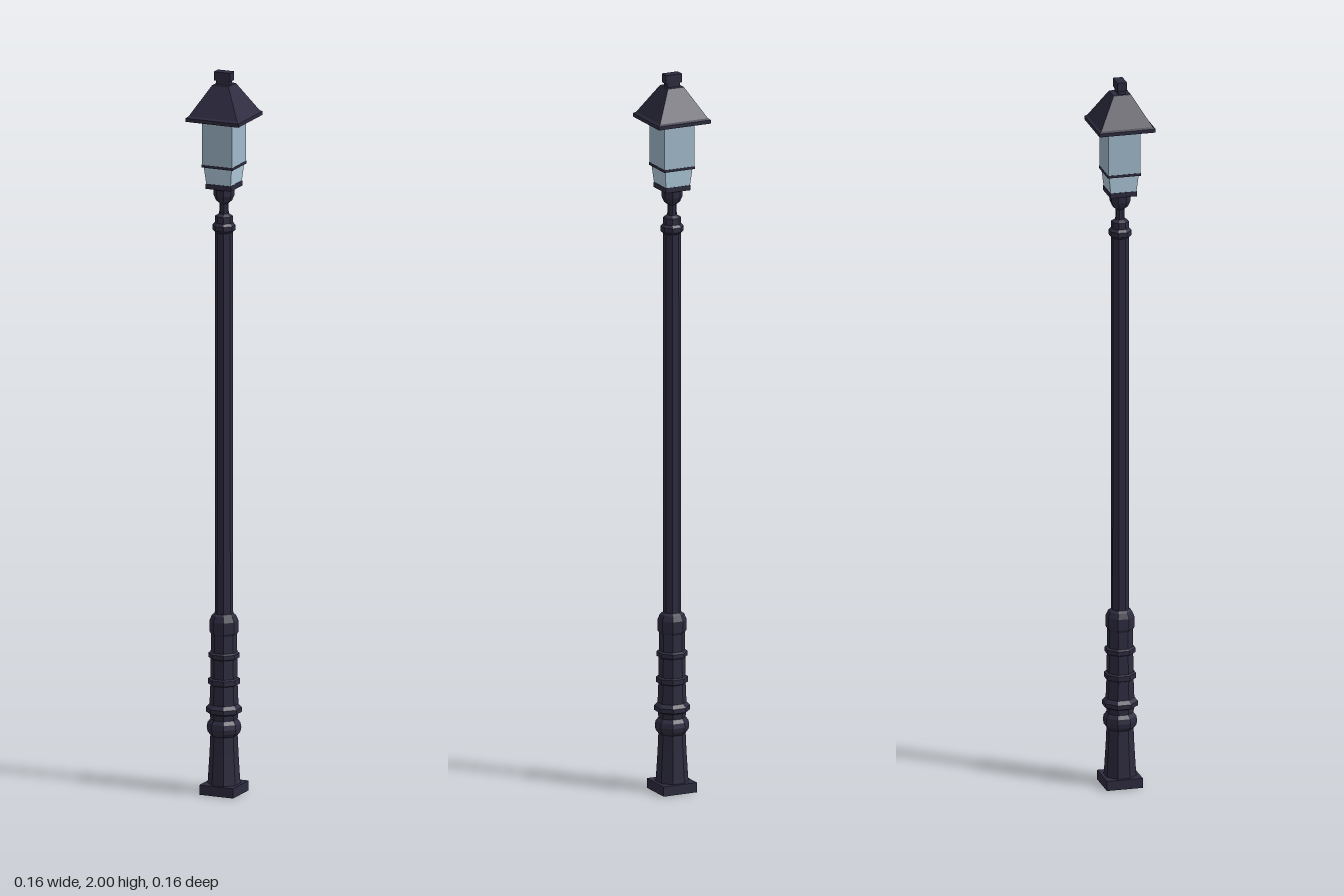
import * as THREE from 'three';

const iron = new THREE.MeshStandardMaterial({ color: 0x2d2b3f });
iron.name = 'dark iron';
const glass = new THREE.MeshStandardMaterial({ color: 0xa0b9cb, side: THREE.DoubleSide });
glass.name = 'pale blue glass';
const lowerGlass = new THREE.MeshStandardMaterial({ color: 0xb2cddf, side: THREE.DoubleSide });
lowerGlass.name = 'light blue glass';

// Faceted turned part; profile holds [half width across flats, height]
function facet(name, sides, profile, material) {
  const k = 1 / Math.cos(Math.PI / sides);
  const pts = profile.map(([r, y]) => new THREE.Vector2(r * k, y));
  const geo = new THREE.LatheGeometry(pts, sides).rotateY(Math.PI / sides).toNonIndexed();
  geo.computeVertexNormals();
  const mesh = new THREE.Mesh(geo, material);
  mesh.name = name;
  return mesh;
}

function box(name, w, h, d, x, y, z, material) {
  const mesh = new THREE.Mesh(new THREE.BoxGeometry(w, h, d), material);
  mesh.position.set(x, y, z);
  mesh.name = name;
  return mesh;
}

export function createModel() {
  const group = new THREE.Group();
  group.name = 'streetLamp';

  // Square foot and ringed pedestal
  group.add(box('plinth', 0.1, 0.027, 0.1, 0, 0.0135, 0, iron));
  group.add(facet('pedestal', 8, [
    [0.041, 0.026], [0.04, 0.04], [0.036, 0.11], [0.034, 0.16],
    [0.041, 0.17], [0.043, 0.182], [0.041, 0.195], [0.034, 0.205],
    [0.035, 0.22], [0.045, 0.225], [0.045, 0.237], [0.036, 0.247],
    [0.034, 0.3], [0.04, 0.303], [0.04, 0.317], [0.034, 0.32],
    [0.033, 0.373], [0.039, 0.376], [0.039, 0.388], [0.033, 0.392],
    [0.032, 0.44], [0.036, 0.447], [0.036, 0.478], [0.03, 0.493], [0.021, 0.5],
  ], iron));

  // Shaft with collar, thin neck and cup
  group.add(facet('post', 8, [[0.023, 0.49], [0.022, 1.56]], iron));
  group.add(facet('collar', 8, [
    [0.022, 1.555], [0.029, 1.562], [0.029, 1.575], [0.023, 1.582],
    [0.022, 1.6], [0.012, 1.607], [0.011, 1.64],
  ], iron));
  group.add(facet('lanternCup', 8, [
    [0.011, 1.635], [0.02, 1.643], [0.026, 1.658], [0.026, 1.675], [0.034, 1.682],
  ], iron));
  group.add(box('lanternBase', 0.074, 0.014, 0.074, 0, 1.686, 0, iron));

  // Glazed lantern: tapered lower panes, dark rail, straight upper panes
  group.add(facet('lowerGlass', 4, [[0.036, 1.692], [0.041, 1.74]], lowerGlass));
  group.add(box('lanternRail', 0.092, 0.007, 0.092, 0, 1.743, 0, iron));
  group.add(facet('upperGlass', 4, [[0.045, 1.745], [0.045, 1.873]], glass));

  // Overhanging roof with closed underside
  group.add(facet('roof', 4, [
    [0, 1.87], [0.078, 1.87], [0.078, 1.88], [0.072, 1.884], [0.024, 1.965], [0, 1.965],
  ], iron));

  // Finial: narrow block with wider cap
  group.add(box('finialNeck', 0.038, 0.02, 0.02, 0, 1.97, 0, iron));
  group.add(box('finialCap', 0.048, 0.024, 0.026, 0, 1.988, 0, iron));
  return group;
}
